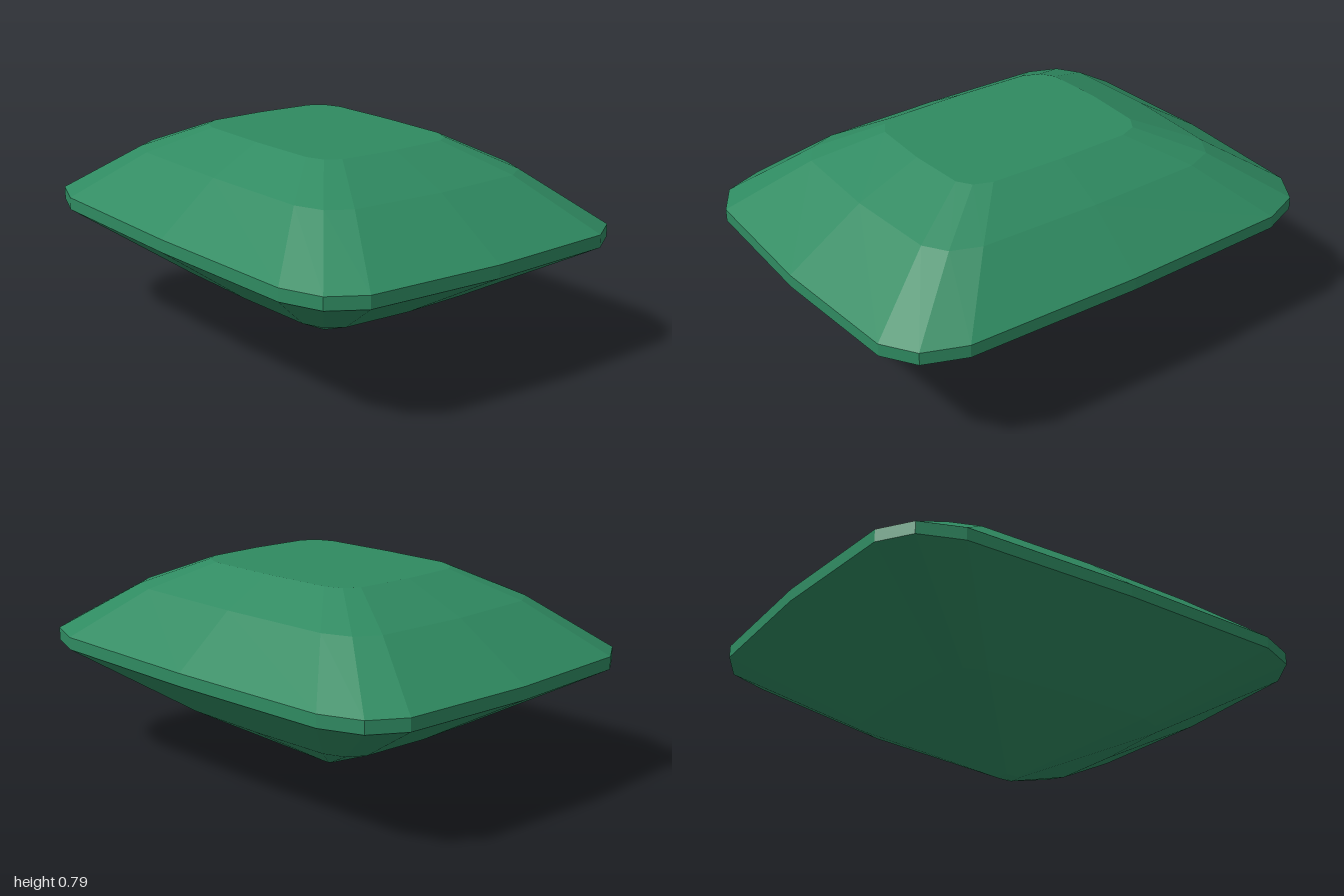
import * as THREE from 'three';

// Half of the girdle outline (x, z); the other half is its 180 degree rotation
const half = [
  [-0.35, -1.0], [0.17, -0.93], [0.69, -0.803], [0.8, -0.7],
  [0.83, -0.535], [0.72, 0.13], [0.577, 0.8], [0.485, 0.945],
];
const outline = [...half, ...half.map(([x, z]) => [-x, -z])];

// Faceted band through rings given as [height, outline scale], bottom to top
function facets(rings) {
  const positions = [];
  const point = ([y, s], j) => {
    const [x, z] = outline[j % outline.length];
    return [x * s, y, z * s];
  };
  for (let i = 0; i < rings.length - 1; i++) {
    const low = rings[i], high = rings[i + 1];
    for (let j = 0; j < outline.length; j++) {
      const a = point(low, j), b = point(low, j + 1);
      const c = point(high, j + 1), d = point(high, j);
      if (high[1] > 0) positions.push(...a, ...d, ...c);
      if (low[1] > 0) positions.push(...a, ...c, ...b);
    }
  }
  // a ring of scale 0 collapses to a single centre point
  const geometry = new THREE.BufferGeometry();
  geometry.setAttribute('position', new THREE.Float32BufferAttribute(positions, 3));
  geometry.computeVertexNormals();
  return geometry;
}

export function createModel() {
  const green = new THREE.MeshStandardMaterial({ color: 0x2f8a61, flatShading: true });
  green.name = 'emeraldGreen';

  const gem = new THREE.Group();
  gem.name = 'cutGem';

  const parts = {
    culet: [[0, 0], [0.007, 0.037]],
    pavilion: [[0.007, 0.037], [0.205, 0.52], [0.452, 1]],
    girdle: [[0.452, 1], [0.5, 1]],
    crown: [[0.5, 1], [0.687, 0.69], [0.79, 0.43]],
    table: [[0.79, 0.43], [0.79, 0]],
  };
  for (const [name, rings] of Object.entries(parts)) {
    const geometry = facets(rings);
    const mesh = new THREE.Mesh(geometry, green);
    mesh.name = name;
    gem.add(mesh);
  }
  return gem;
}
